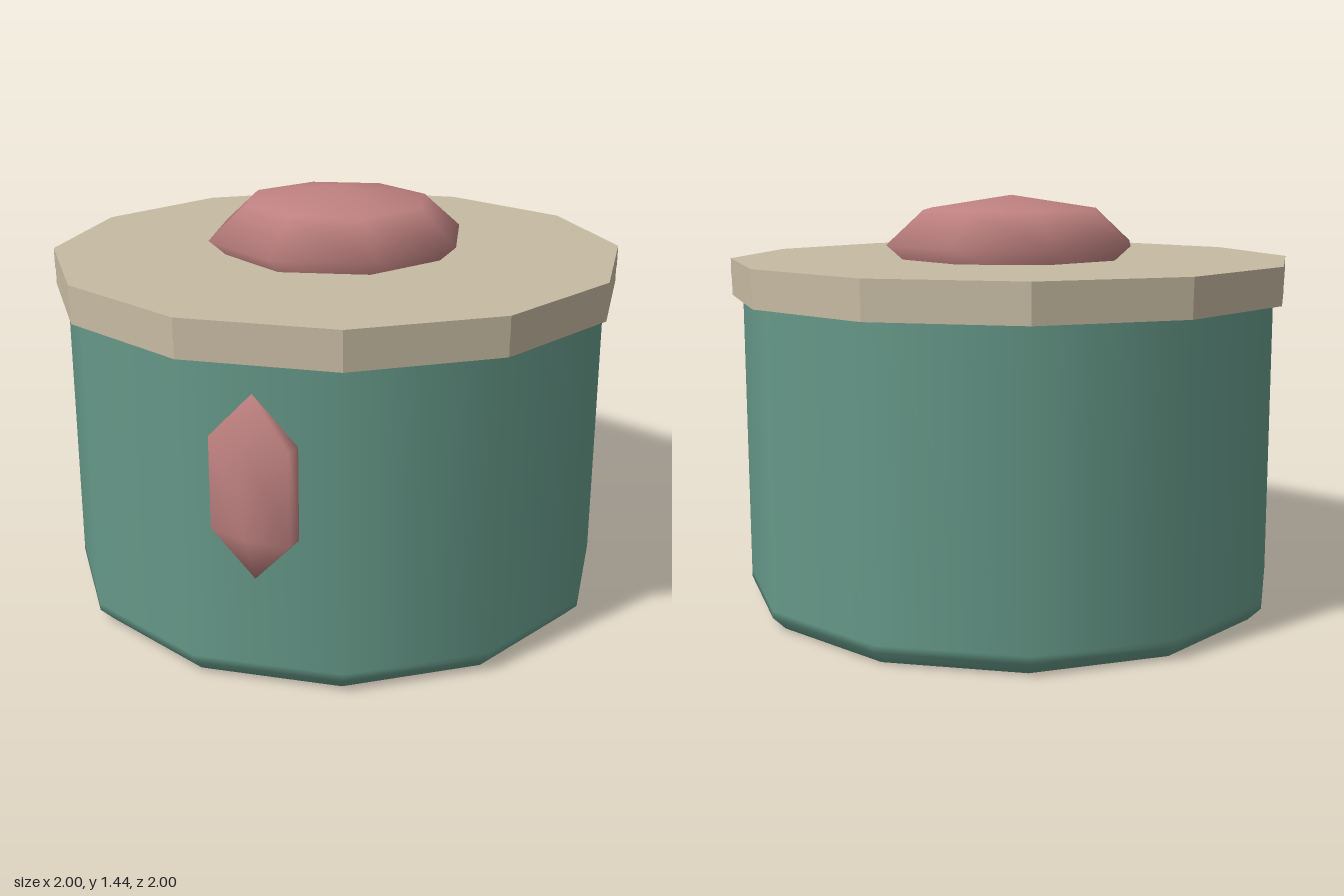
import * as THREE from 'three';

const mat = (name, color) => {
  const m = new THREE.MeshStandardMaterial({ color });
  m.name = name;
  return m;
};

export function createModel() {
  const model = new THREE.Group();
  model.name = 'liddedPot';
  const green = mat('potGreen', 0x659888);
  const cream = mat('lidCream', 0xc6baa2);
  const rose = mat('roseStone', 0xbe8180);

  const add = (name, geometry, material, x, y, z) => {
    const mesh = new THREE.Mesh(geometry, material);
    mesh.name = name;
    mesh.position.set(x, y, z);
    model.add(mesh);
  };

  // faceted disc with crisp edges
  const disc = (radius, height) => {
    const g = new THREE.CylinderGeometry(radius, radius, height, 12).toNonIndexed();
    g.computeVertexNormals();
    return g;
  };

  // low-poly ellipsoid
  const gem = (rx, ry, rz, around, down, turn = 0) =>
    new THREE.SphereGeometry(1, around, down).rotateY(turn).scale(rx, ry, rz);

  // twelve-sided pot with a chamfered foot; close points keep the shading tight
  const profile = [[0, 0], [0.89, 0], [0.915, 0], [0.96, 0.045], [0.96, 0.07], [0.96, 1.1]]
    .map(([r, y]) => new THREE.Vector2(r, y));
  add('potBody', new THREE.LatheGeometry(profile, 12), green, 0, 0, 0);

  // lid: rim below, top plate above
  add('lidRim', disc(0.998, 0.06), cream, 0, 1.12, 0);
  add('lidTop', disc(1, 0.07), cream, 0, 1.185, 0);

  // knob half sunk into the lid
  add('lidKnob', gem(0.46, 0.17, 0.46, 8, 4), rose, 0, 1.272, 0);

  // elongated stone set into the front
  add('frontStone', gem(0.19, 0.305, 0.0635, 6, 3, Math.PI / 6), rose, 0.228, 0.695, 0.932);

  return model;
}
